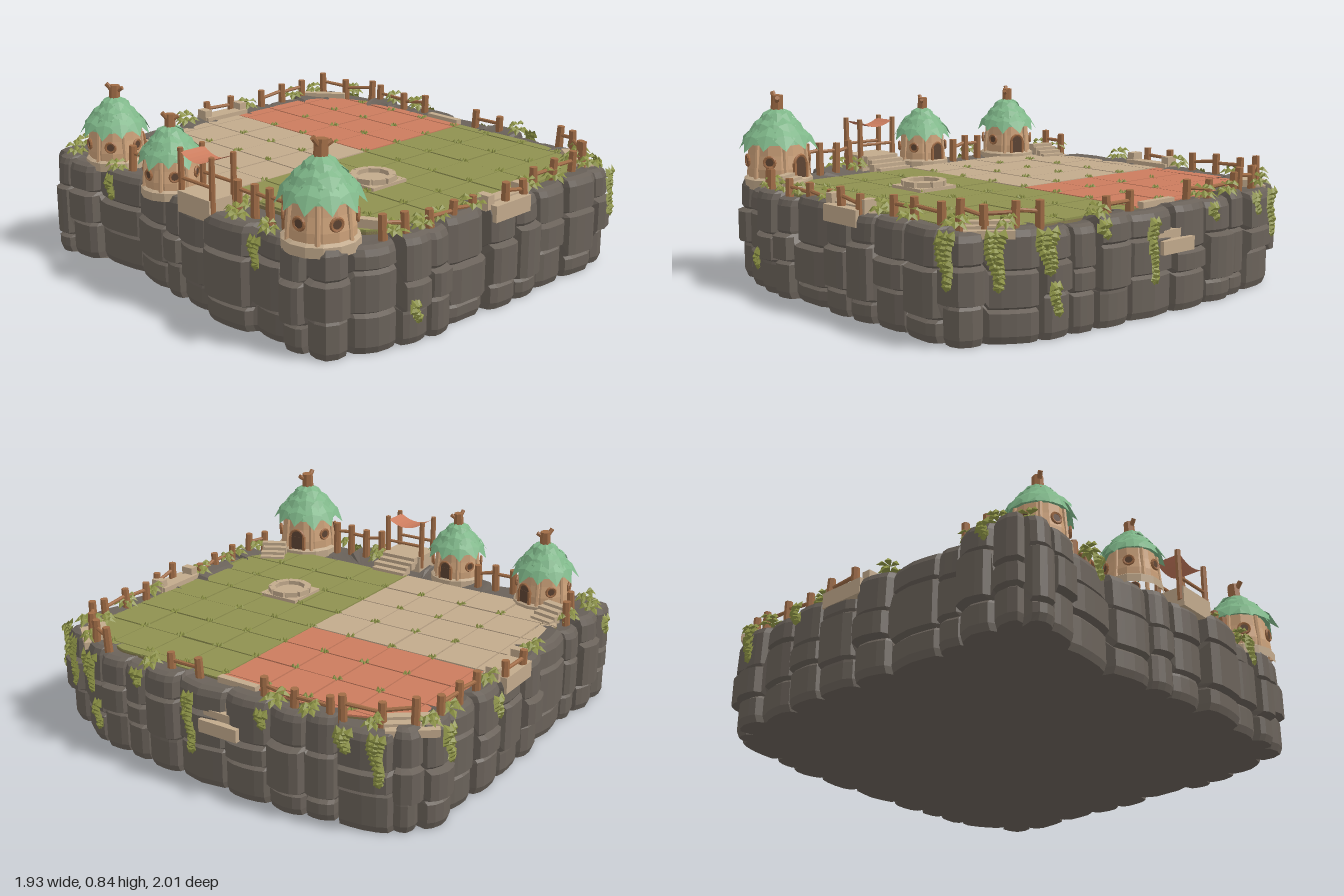
import * as THREE from 'three';
import { mergeGeometries } from 'three/addons/utils/BufferGeometryUtils.js';

const mat = (name, color, extra = {}) => {
  const m = new THREE.MeshStandardMaterial({ color, flatShading: true, ...extra });
  m.name = name;
  return m;
};
const DS = { side: THREE.DoubleSide };
const M = {
  rock: mat('rock', 0x6a625a), soil: mat('soil', 0x85784f), sand: mat('sandstone', 0xc2aa8c),
  red: mat('terracotta', 0xcb7c5e, DS), grass: mat('grass', 0x8f9150), wood: mat('wood', 0xa06c46),
  leaf: mat('roof leaf', 0x7fb789, DS), vine: mat('vine', 0x8c9245, DS),
  wall: mat('clay wall', 0xcda27a), dark: mat('dark opening', 0x5e4433),
};
let seed = 11;
const rnd = (a = 0, b = 1) => {
  seed = (seed * 16807) % 2147483647;
  return a + (b - a) * seed / 2147483647;
};
const V = (x, y, z) => new THREE.Vector3(x, y, z);
const add = (parent, name, geo, material) => {
  const m = new THREE.Mesh(geo, material);
  m.name = name;
  parent.add(m);
  return m;
};
const group = (parent, name, x = 0, y = 0, z = 0, ry = 0) => {
  const g = new THREE.Group();
  g.name = name;
  g.position.set(x, y, z);
  g.rotation.y = ry;
  parent.add(g);
  return g;
};
const box = (p, name, w, h, d, x, y, z, m) => {
  const b = add(p, name, new THREE.BoxGeometry(w, h, d), m);
  b.position.set(x, y, z);
  return b;
};
// round bar between two points
const bar = (p, name, a, b, r, m = M.wood) => {
  const c = add(p, name, new THREE.CylinderGeometry(r * 0.9, r, a.distanceTo(b), 7), m);
  c.position.copy(a).add(b).multiplyScalar(0.5);
  c.quaternion.setFromUnitVectors(V(0, 1, 0), b.clone().sub(a).normalize());
};
// ridged leaf running outward from (r0,y0) to (r1,y1)
const leaf = (r0, y0, r1, y1, w, bulge = 0.012) => {
  const f = 0.6, rm = r0 + (r1 - r0) * f, ym = y0 + (y1 - y0) * f + bulge;
  const B = [r0, y0, 0], T = [r1, y1, 0], R = [rm, ym - 0.012, w / 2], L = [rm, ym - 0.012, -w / 2], C = [rm, ym, 0];
  const g = new THREE.BufferGeometry();
  g.setAttribute('position', new THREE.Float32BufferAttribute([B, C, L, B, R, C, C, T, L, C, R, T].flat(), 3));
  g.computeVertexNormals();
  return g;
};

// cliff outline (x, z), clockwise from above
const edge = new THREE.CatmullRomCurve3([
  [-0.92, -0.8], [-0.86, -0.96], [-0.66, -0.96], [-0.4, -0.94], [-0.08, -0.95], [0.26, -0.97], [0.62, -0.94], [0.81, -0.87],
  [0.86, -0.66], [0.91, -0.46], [0.91, -0.13], [0.9, 0.34], [0.88, 0.64], [0.79, 0.81], [0.7, 0.94], [0.4, 0.95], [0.08, 0.96],
  [-0.54, 0.95], [-0.78, 0.88], [-0.91, 0.81], [-0.93, 0.5], [-0.93, 0], [-0.88, -0.3], [-0.88, -0.55],
].map(([x, z]) => V(x, 0, z)), true, 'catmullrom', 0.4);
edge.arcLengthDivisions = 800;
const outward = u => {
  const t = edge.getTangentAt(u);
  return V(t.z, 0, -t.x);
};
const samples = Array.from({ length: 400 }, (_, i) => edge.getPointAt(i / 400));
const nearest = (x, z) => {
  let best = 0;
  samples.forEach((p, i) => { if (Math.hypot(p.x - x, p.z - z) < Math.hypot(samples[best].x - x, samples[best].z - z)) best = i; });
  return best / 400;
};

// ring of rounded rock columns, each with its own horizontal cracks
function cliff(root) {
  const widths = Array.from({ length: 38 }, () => rnd(0.7, 1.7)), total = widths.reduce((a, b) => a + b);
  const cols = [];
  let start = 0;
  for (const w of widths) {
    const off = rnd(-0.02, 0.018), h1 = rnd(0.08, 0.18), h2 = rnd(0.24, 0.34), top = rnd(0.425, 0.455);
    const bands = [rnd(-0.02, 0), rnd(-0.003, 0.018), rnd(-0.015, 0.008)];
    const rows = [[0, bands[0] - 0.012], [0.03, bands[0]], [h1 - 0.012, bands[0]], [h1, -0.022], [h1 + 0.012, bands[1]],
      [h2 - 0.012, bands[1]], [h2, -0.022], [h2 + 0.012, bands[2]], [top - 0.035, bands[2] - 0.004], [top - 0.01, bands[2] - 0.016], [top, bands[2] - 0.04], [top - 0.008, -0.1]];
    for (const [t, dent] of [[0, -0.045], [0.07, -0.014], [0.25, 0], [0.5, 0.004], [0.75, 0], [0.93, -0.014]]) {
      const u = (start + t * w) / total, p = edge.getPointAt(u), n = outward(u), j = rnd(-0.004, 0.004);
      const pts = rows.map(([y, o]) => p.clone().addScaledVector(n, off + o + dent + j).setY(y));
      cols.push([V(0, 0, 0), ...pts, p.clone().multiplyScalar(0.8).setY(0.415), V(0, 0.415, 0)]);
    }
    start += w;
  }
  const pos = [], idx = [], n = cols.length, k = cols[0].length;
  cols.forEach((c, i) => c.forEach((p, j) => {
    pos.push(p.x, p.y, THREE.MathUtils.clamp(p.z, -1, 1));
    if (j === k - 1) return;
    const a = i * k + j, b = ((i + 1) % n) * k + j;
    idx.push(a, a + 1, b, b, a + 1, b + 1);
  }));
  const g = new THREE.BufferGeometry();
  g.setAttribute('position', new THREE.Float32BufferAttribute(pos, 3));
  g.setIndex(idx);
  g.computeVertexNormals();
  add(root, 'cliff', g, M.rock);
}

// paved floor: one bed with separate tiles clipped to its outline
const floorEdge = [[-0.69, -0.56], [-0.62, -0.74], [-0.5, -0.86], [0.58, -0.86], [0.72, -0.76], [0.79, -0.58],
  [0.79, 0.55], [0.73, 0.73], [0.6, 0.86], [-0.46, 0.86], [-0.61, 0.76], [-0.69, 0.6]];
const clip = (poly, axis, limit, sign) => poly.flatMap((p, i) => {
  const q = poly[(i + 1) % poly.length], dp = (p[axis] - limit) * sign, dq = (q[axis] - limit) * sign;
  const out = dp >= 0 ? [p] : [];
  if (dp * dq < 0) out.push([0, 1].map(a => p[a] + (q[a] - p[a]) * dp / (dp - dq)));
  return out;
});
const slab = (poly, y, h) => {
  const s = new THREE.Shape(poly.map(([x, z]) => new THREE.Vector2(x, -z)));
  return new THREE.ExtrudeGeometry(s, { depth: h, bevelEnabled: false }).rotateX(-Math.PI / 2).translate(0, y, 0);
};
function floor(root) {
  add(root, 'floorBed', slab(floorEdge, 0.4, 0.03), M.soil);
  const sets = { grass: [], sand: [], red: [] }, weeds = [];
  for (let i = -4; i < 4; i++) for (let k = -5; k < 5; k++) {
    const x = 0.13 + i * 0.203, z = 0.03 + k * 0.206, e = () => rnd(0.002, 0.005);
    let p = clip(clip(floorEdge, 0, x + e(), 1), 0, x + 0.203 - e(), -1);
    p = clip(clip(p, 1, z + e(), 1), 1, z + 0.206 - e(), -1);
    if (p.length > 2) sets[k >= 0 ? 'grass' : i < 0 ? 'sand' : 'red'].push(slab(p, 0.42, rnd(0.016, 0.019)));
    if (i > -4 && Math.abs(k) < 4) for (let a = 0; a < 5; a++)
      weeds.push(leaf(0, 0.438, rnd(0.014, 0.03), 0.441, 0.012, 0.014).rotateY(a * 1.26 + rnd()).translate(x, 0, z));
  }
  for (const s in sets) add(root, s + 'Tiles', mergeGeometries(sets[s]), M[s]);
  add(root, 'weeds', mergeGeometries(weeds), M.vine);
}

// round hut with a layered leaf roof, door facing local +x
function hut(root, x, z, s, ry) {
  const g = group(root, 'hut', x, 0.44, z, ry);
  g.scale.setScalar(s);
  const lathe = (name, pts, m, n = 14) => add(g, name, new THREE.LatheGeometry(pts.map(p => new THREE.Vector2(...p)), n), m);
  lathe('hutBase', [[0.155, -0.03], [0.155, 0.012], [0.14, 0.022], [0, 0.022]], M.sand);
  lathe('hutWall', [[0.138, 0], [0.138, 0.06], [0.128, 0.12], [0.122, 0.19], [0, 0.2]], M.wall);
  lathe('roofCore', [[0.1, 0.18], [0.145, 0.17], [0.12, 0.23], [0.07, 0.28], [0.02, 0.32]], M.leaf);
  const leaves = [];
  [[0.085, 0.265, 0.182, 0.14, 0.105, 11], [0.045, 0.3, 0.138, 0.205, 0.09, 10], [0.012, 0.33, 0.09, 0.26, 0.07, 8]].forEach(([r0, y0, r1, y1, w, n], t) => {
    for (let i = 0; i < n; i++)
      leaves.push(leaf(r0, y0, r1 + rnd(-0.008, 0.006), y1 + rnd(-0.008, 0.01), w, 0.02).rotateY((i + t * 0.5) / n * Math.PI * 2));
  });
  add(g, 'roofLeaves', mergeGeometries(leaves), M.leaf);
  bar(g, 'roofTrunk', V(0, 0.29, 0), V(0.006, 0.385, 0), 0.03);
  bar(g, 'roofBranch', V(0, 0.345, 0), V(0.035, 0.375, 0.03), 0.012);
  bar(g, 'roofBranch', V(0, 0.35, 0), V(-0.035, 0.395, -0.01), 0.013);
  // arched door, round windows and wall posts
  for (let i = 0; i < 6; i++) {
    const a = group(g, i ? 'window' : 'door', 0, 0, 0, i * Math.PI / 3);
    const r = i ? 0.024 : 0.036, y = i ? 0.095 : 0.085;
    const pane = add(a, 'opening', new THREE.CylinderGeometry(r, r, 0.008, 14).rotateZ(Math.PI / 2), M.dark);
    pane.position.set(0.138, y, 0);
    const frame = add(a, 'frame', new THREE.TorusGeometry(r, 0.007, 5, 14, i ? Math.PI * 2 : Math.PI).rotateY(Math.PI / 2), M.wood);
    frame.position.set(0.14, y, 0);
    if (!i) {
      box(a, 'opening', 0.008, 0.065, 0.072, 0.14, 0.053, 0, M.dark);
      for (const e of [-1, 1]) box(a, 'doorPost', 0.014, 0.07, 0.013, 0.141, 0.053, e * 0.036, M.wood);
    }
    const c = Math.cos(Math.PI / 6), d = Math.sin(Math.PI / 6);
    bar(a, 'wallPost', V(0.138 * c, 0, 0.138 * d), V(0.124 * c, 0.18, 0.124 * d), 0.012, M.wall);
  }
}

// flight of steps descending along local +x
function steps(root, name, x, z, ry, n, width, run, y, rise) {
  const g = group(root, name, x, 0, z, ry);
  for (let i = 0; i < n; i++)
    box(g, 'step', run * 1.1, rise + 0.02, width * rnd(0.93, 1), i * run, y - i * rise - rise / 2 - 0.01, rnd(-0.006, 0.006), M.sand);
}

// posts joined by a rail
function fence(root, pts, h, y = 0.42) {
  const g = group(root, 'fence');
  const tops = pts.map(([x, z]) => {
    const t = V(x + rnd(-0.006, 0.006), y + h * rnd(0.88, 1.12), z + rnd(-0.006, 0.006));
    bar(g, 'post', V(x, y, z), t, 0.019);
    return t;
  });
  for (let i = 1; i < tops.length; i++) for (const d of [0.035])
    bar(g, 'rail', tops[i - 1].clone().setY(tops[i - 1].y - d), tops[i].clone().setY(tops[i].y - d - 0.008), 0.009);
}

// hanging vine: overlapping leaves tapering down the cliff face
function vine(root, x, z, top, bottom, width) {
  const u = nearest(x, z), p = edge.getPointAt(u), n = outward(u), parts = [];
  const g = group(root, 'vine', p.x + n.x * 0.012, 0, p.z + n.z * 0.012, Math.atan2(-n.z, n.x));
  const count = Math.ceil((top - bottom) / 0.02);
  for (let i = 0; i < count; i++) {
    const t = i / count, y = top - (top - bottom) * t, w = width * (1 - 0.75 * t);
    for (const s of [-1, 0, 1])
      parts.push(leaf(0, 0, 0.05, 0, 0.045, 0.016).rotateZ(-1.35).rotateX(s * 0.4).translate(rnd(0, 0.012), y, s * w * 0.36 + Math.sin(t * 6) * 0.01));
  }
  add(g, 'vineLeaves', mergeGeometries(parts), M.vine);
}

function bush(root, x, z, r) {
  const parts = [];
  for (let i = 0; i < 11; i++) {
    const up = i < 7 ? 0 : 0.025;
    parts.push(leaf(0, 0.022 + up, r * rnd(0.75, 1.1), rnd(0, 0.02) + up, r * 0.5, 0.022).rotateY(i * 0.9 + rnd(0, 0.3)));
  }
  add(group(root, 'bush', x, 0.435, z), 'bushLeaves', mergeGeometries(parts), M.vine);
}

export function createModel() {
  const root = new THREE.Group();
  root.name = 'clifftopVillage';
  cliff(root);
  floor(root);
  hut(root, -0.79, 0.7, 1, 0.2);
  hut(root, -0.82, -0.17, 0.82, 0);
  hut(root, -0.74, -0.67, 0.87, -0.3);

  // square well with a stone ring
  const well = group(root, 'well', -0.16, 0.437, 0.36);
  box(well, 'wellBase', 0.2, 0.016, 0.2, 0, 0.006, 0, M.sand);
  add(well, 'wellFloor', new THREE.CylinderGeometry(0.066, 0.066, 0.005, 16), M.sand).position.y = 0.017;
  for (let i = 0; i < 9; i++)
    box(group(well, 'wellStone', 0, 0, 0, i * Math.PI * 2 / 9), 'stone', 0.03, 0.03, 0.058, 0.082, 0.022, 0, M.sand);

  // steps and landings around the rim
  steps(root, 'gateSteps', -0.775, 0.13, 0, 4, 0.19, 0.033, 0.5, 0.016);
  steps(root, 'hutSteps', -0.61, -0.8, -0.25, 4, 0.12, 0.032, 0.49, 0.014);
  steps(root, 'hutSteps', -0.61, 0.78, 0.5, 4, 0.12, 0.032, 0.49, 0.014);
  steps(root, 'cliffSteps', 0.8, -0.08, 0, 5, 0.2, 0.03, 0.455, 0.036);
  steps(root, 'cornerSteps', 0.69, -0.82, 0.66, 3, 0.22, 0.035, 0.46, 0.012);
  steps(root, 'cornerSteps', 0.7, 0.75, -0.7, 3, 0.2, 0.035, 0.46, 0.012);
  for (const s of [-1, 1]) {
    const x = s < 0 ? 0.06 : 0.04;
    box(root, 'landing', 0.25, 0.035, 0.06, x, 0.44, s * 0.885, M.sand);
    box(root, 'landingLip', 0.22, 0.07, 0.05, x, 0.415, s * 0.935, M.sand);
    for (const dx of [-0.11, 0.11]) box(root, 'landingBlock', 0.04, 0.06, 0.06, x + dx, 0.46, s * 0.9, M.sand);
  }

  // gate with a sagging cloth canopy
  const gate = group(root, 'gate', -0.865, 0, 0.125);
  box(gate, 'gatePlatform', 0.15, 0.09, 0.2, 0, 0.455, 0, M.sand);
  for (const x of [-0.055, 0.055]) {
    for (const z of [-0.095, 0.095]) bar(gate, 'gatePost', V(x, 0.44, z), V(x, 0.675, z * 1.03), 0.014);
    bar(gate, 'gateRail', V(x, 0.55, -0.095), V(x, 0.55, 0.095), 0.008);
  }
  const cloth = new THREE.PlaneGeometry(0.12, 0.18, 1, 8).rotateX(-Math.PI / 2), cp = cloth.attributes.position;
  for (let i = 0; i < cp.count; i++) cp.setY(i, 0.632 + 0.028 * (cp.getZ(i) / 0.09) ** 2);
  cloth.computeVertexNormals();
  add(gate, 'canopy', cloth, M.red);

  // fences along the rim
  fence(root, [[-0.78, -0.5], [-0.77, -0.41], [-0.76, -0.32]], 0.13);
  fence(root, [[-0.83, 0.27], [-0.82, 0.36], [-0.82, 0.45], [-0.81, 0.53]], 0.17);
  fence(root, [[-0.62, 0.86], [-0.54, 0.9]], 0.12);
  fence(root, [[-0.4, 0.9], [-0.26, 0.89], [-0.13, 0.88]], 0.08);
  fence(root, [[0.02, 0.93], [0.14, 0.93]], 0.1);
  fence(root, [[0.28, 0.87], [0.41, 0.87], [0.56, 0.86]], 0.1);
  fence(root, [[0.65, 0.85], [0.72, 0.79], [0.79, 0.7], [0.82, 0.6]], 0.12);
  fence(root, [[0.83, 0.24], [0.82, 0.1]], 0.1);
  fence(root, [[0.83, -0.24], [0.83, -0.38], [0.83, -0.55]], 0.1);
  fence(root, [[0.82, -0.6], [0.78, -0.75], [0.72, -0.86]], 0.12);
  fence(root, [[0.6, -0.9], [0.46, -0.9], [0.32, -0.9]], 0.1);
  fence(root, [[0.0, -0.94], [0.15, -0.94]], 0.1);
  fence(root, [[-0.55, -0.88], [-0.64, -0.86]], 0.12);

  // greenery
  for (const [x, z] of [[-0.74, -0.91], [-0.58, -0.87], [-0.16, -0.9], [0.23, -0.9], [0.55, -0.91], [0.69, -0.9], [0.83, -0.74], [0.86, -0.47],
    [0.86, -0.31], [0.86, 0.33], [0.62, 0.82], [0.79, 0.74], [0.66, 0.88], [0.4, 0.89], [0.22, 0.89], [-0.13, 0.89], [-0.34, 0.89], [-0.44, 0.9],
    [-0.58, 0.88], [-0.9, 0.53], [-0.88, 0.32], [-0.78, 0.27], [-0.86, -0.5], [-0.84, -0.84]]) bush(root, x, z, rnd(0.05, 0.068));
  for (const v of [[0.7, 0.94, 0.45, 0.25, 0.1], [0.79, 0.81, 0.45, 0.24, 0.1], [0.88, 0.64, 0.45, 0.29, 0.13], [0.885, 0.6, 0.24, 0.13, 0.06],
    [0.9, 0.07, 0.42, 0.17, 0.07], [0.85, -0.78, 0.44, 0.24, 0.09], [0.86, -0.64, 0.44, 0.36, 0.09], [0.9, -0.3, 0.44, 0.38, 0.07],
    [0.88, 0.36, 0.45, 0.39, 0.08], [-0.54, 0.95, 0.2, 0.13, 0.05], [0.3, -0.97, 0.44, 0.36, 0.08], [0.62, -0.94, 0.44, 0.3, 0.09],
    [-0.93, 0.5, 0.44, 0.33, 0.08], [-0.88, -0.5, 0.44, 0.35, 0.07], [-0.74, -0.96, 0.44, 0.37, 0.07]]) vine(root, ...v);
  return root;
}
